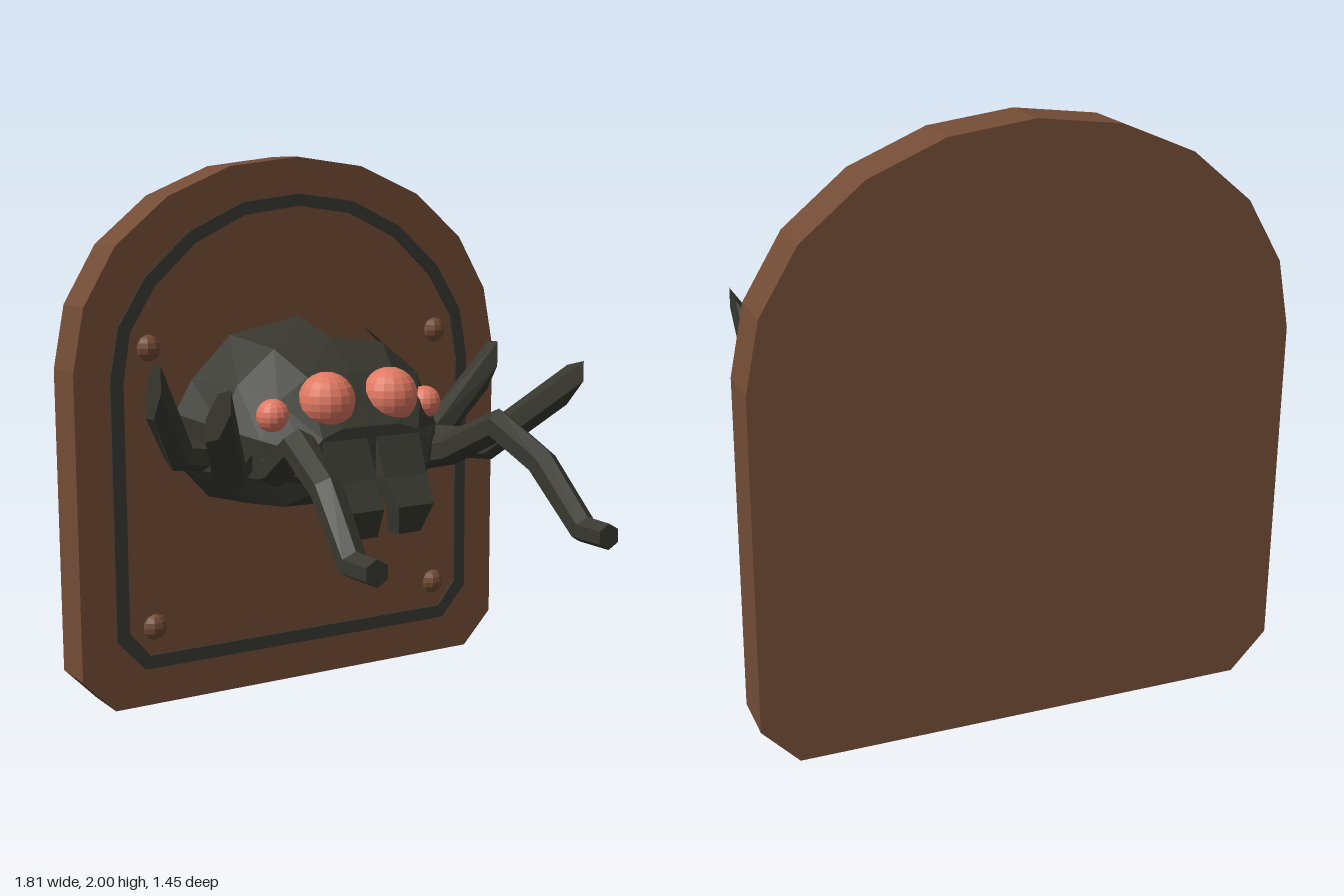
import * as THREE from 'three';

const V = (x, y, z) => new THREE.Vector3(x, y, z);
const material = (name, color, side = THREE.FrontSide) => {
  const m = new THREE.MeshStandardMaterial({ color, flatShading: true, side });
  m.name = name;
  return m;
};

// Skin between rings that run counter-clockwise about the direction of travel.
function loft(rings, { capStart = true, capEnd = true, skip = () => false } = {}) {
  const n = rings[0].length, index = [];
  for (let i = 0; i < rings.length - 1; i++) {
    for (let j = 0; j < n; j++) {
      if (skip(i, j)) continue;
      const k = (j + 1) % n, a = i * n, b = a + n;
      index.push(a + j, a + k, b + k, a + j, b + k, b + j);
    }
  }
  const last = (rings.length - 1) * n;
  for (let j = 1; j < n - 1; j++) {
    if (capStart) index.push(0, j + 1, j);
    if (capEnd) index.push(last, last + j, last + j + 1);
  }
  const indexed = new THREE.BufferGeometry().setFromPoints(rings.flat());
  indexed.setIndex(index);
  const geo = indexed.toNonIndexed();
  geo.computeVertexNormals();
  return geo;
}

// Six-sided leg along a path; clipX trims the tip flat on a vertical plane.
function limb(points, radii, clipX) {
  const end = points.length - 1;
  const rings = points.map((p, i) => {
    const before = points[Math.max(i - 1, 0)], after = points[Math.min(i + 1, end)];
    const t = after.clone().sub(p).normalize().add(p.clone().sub(before).normalize()).normalize();
    const u = V(0, 1, 0).cross(t).normalize();
    const v = t.clone().cross(u);
    return Array.from({ length: 6 }, (_, k) => {
      const a = (k + 0.5) * Math.PI / 3;
      return p.clone().addScaledVector(u, Math.cos(a) * radii[i]).addScaledVector(v, Math.sin(a) * radii[i]);
    });
  });
  if (clipX !== undefined) {
    const d = points[end].clone().sub(points[end - 1]);
    rings[end].forEach(q => q.addScaledVector(d, (clipX - q.x) / d.x));
  }
  return loft(rings);
}

// Symmetric outline from the right half, listed from bottom to top centre.
function outline(half) {
  const left = half.slice(0, -1).reverse().map(([x, y]) => [-x, y]);
  return [...half, ...left].map(([x, y]) => new THREE.Vector2(x, y));
}

export function createModel() {
  const model = new THREE.Group();
  const wood = material('brown wood', 0x734c36);
  const dark = material('dark shell', 0x383830);
  const shell = material('dark open shell', 0x383830, THREE.DoubleSide);
  const coral = material('coral eyes', 0xe07862);
  const add = (name, geo, mat, x = 0, y = 0, z = 0) => {
    const mesh = new THREE.Mesh(geo, mat);
    mesh.name = name;
    mesh.position.set(x, y, z);
    model.add(mesh);
    return mesh;
  };

  // Arched mounting board
  const board = new THREE.Shape(outline([[0.78, 0], [0.905, 0.13], [0.905, 1.25], [0.86, 1.48],
    [0.735, 1.69], [0.53, 1.86], [0.28, 1.965], [0, 2]]));
  add('board', new THREE.ExtrudeGeometry(board, { depth: 0.182, bevelEnabled: false }), wood, 0, 0, -0.727);

  // Inlaid border following the arch
  const trim = new THREE.Shape(outline([[0.66, 0.14], [0.77, 0.26], [0.77, 1.22], [0.735, 1.405],
    [0.625, 1.58], [0.45, 1.735], [0.235, 1.835], [0, 1.865]]));
  trim.holes.push(new THREE.Path(outline([[0.64, 0.19], [0.72, 0.285], [0.72, 1.21], [0.69, 1.385],
    [0.59, 1.545], [0.425, 1.695], [0.225, 1.79], [0, 1.82]])));
  add('borderTrim', new THREE.ExtrudeGeometry(trim, { depth: 0.009, bevelEnabled: false }), dark, 0, 0, -0.546);

  // Body shell: z, then right half of the section from top to bottom
  const sections = [
    [-0.546, [[0, 1.41], [0.29, 1.355], [0.45, 1.2], [0.52, 1.08], [0.5, 0.88], [0.39, 0.76], [0, 0.745]]],
    [-0.32, [[0, 1.35], [0.23, 1.32], [0.38, 1.2], [0.45, 1.05], [0.43, 0.88], [0.34, 0.768], [0, 0.755]]],
    [-0.17, [[0, 1.24], [0.18, 1.23], [0.3, 1.15], [0.37, 1.02], [0.36, 0.88], [0.28, 0.775], [0, 0.768]]],
    [-0.03, [[0, 1.06], [0.12, 1.06], [0.2, 1.03], [0.25, 0.98], [0.24, 0.91], [0.18, 0.86], [0, 0.85]]],
  ];
  const bodyRings = sections.map(([z, half]) => [
    ...half.map(([x, y]) => V(-x, y, z)),
    ...half.slice(1, -1).reverse().map(([x, y]) => V(x, y, z)),
  ]);
  // One upper facet beside the board is left open
  add('body', loft(bodyRings, { capStart: false, skip: (i, j) => i === 0 && j === 11 }), shell);

  for (const s of [1, -1]) {
    const side = s > 0 ? 'left' : 'right';

    // Round studs
    for (const y of [0.295, 1.325]) {
      add(side + (y < 1 ? 'LowerStud' : 'UpperStud'), new THREE.SphereGeometry(0.052, 10, 8), wood, s * 0.617, y, -0.563);
    }

    // Eyes
    add(side + 'MainEye', new THREE.SphereGeometry(0.103, 16, 12), coral, s * 0.132, 1.15, -0.118);
    add(side + 'SideEye', new THREE.SphereGeometry(0.06, 14, 10), coral, s * 0.32, 1.105, -0.17);

    // Jaws: inner x, outer x, back z and y, front z and y
    const jaw = [
      [0.02, 0.2, -0.12, 0.93, -0.03, 1.02],
      [0.015, 0.195, -0.03, 0.87, 0.03, 0.88],
      [0.03, 0.18, 0.025, 0.765, 0.1, 0.785],
      [0.045, 0.135, 0.005, 0.675, 0.08, 0.685],
    ].map(([a, b, zb, yb, zf, yf]) => {
      const lo = Math.min(s * a, s * b), hi = Math.max(s * a, s * b);
      return [V(lo, yb, zb), V(hi, yb, zb), V(hi, yf, zf), V(lo, yf, zf)];
    });
    add(side + 'Jaw', loft(jaw), dark);

    // Legs
    add(side + 'FrontLeg', limb([
      V(s * 0.31, 0.9, -0.22), V(s * 0.36, 0.94, -0.06), V(s * 0.41, 1.055, 0.17), V(s * 0.435, 0.95, 0.39),
      V(s * 0.46, 0.75, 0.59), V(s * 0.457, 0.75, 0.725),
    ], [0.06, 0.06, 0.06, 0.055, 0.05, 0.045]), dark);
    add(side + 'MiddleLeg', limb([
      V(s * 0.36, 0.94, -0.33), V(s * 0.54, 0.94, -0.08), V(s * 0.71, 1.18, 0.18),
    ], [0.06, 0.062, 0.058], s * 0.71), dark);
    add(side + 'BackLeg', limb([
      V(s * 0.42, 0.93, -0.45), V(s * 0.56, 0.95, -0.43), V(s * 0.71, 1.2, -0.31),
    ], [0.06, 0.062, 0.058], s * 0.71), dark);
  }
  return model;
}
